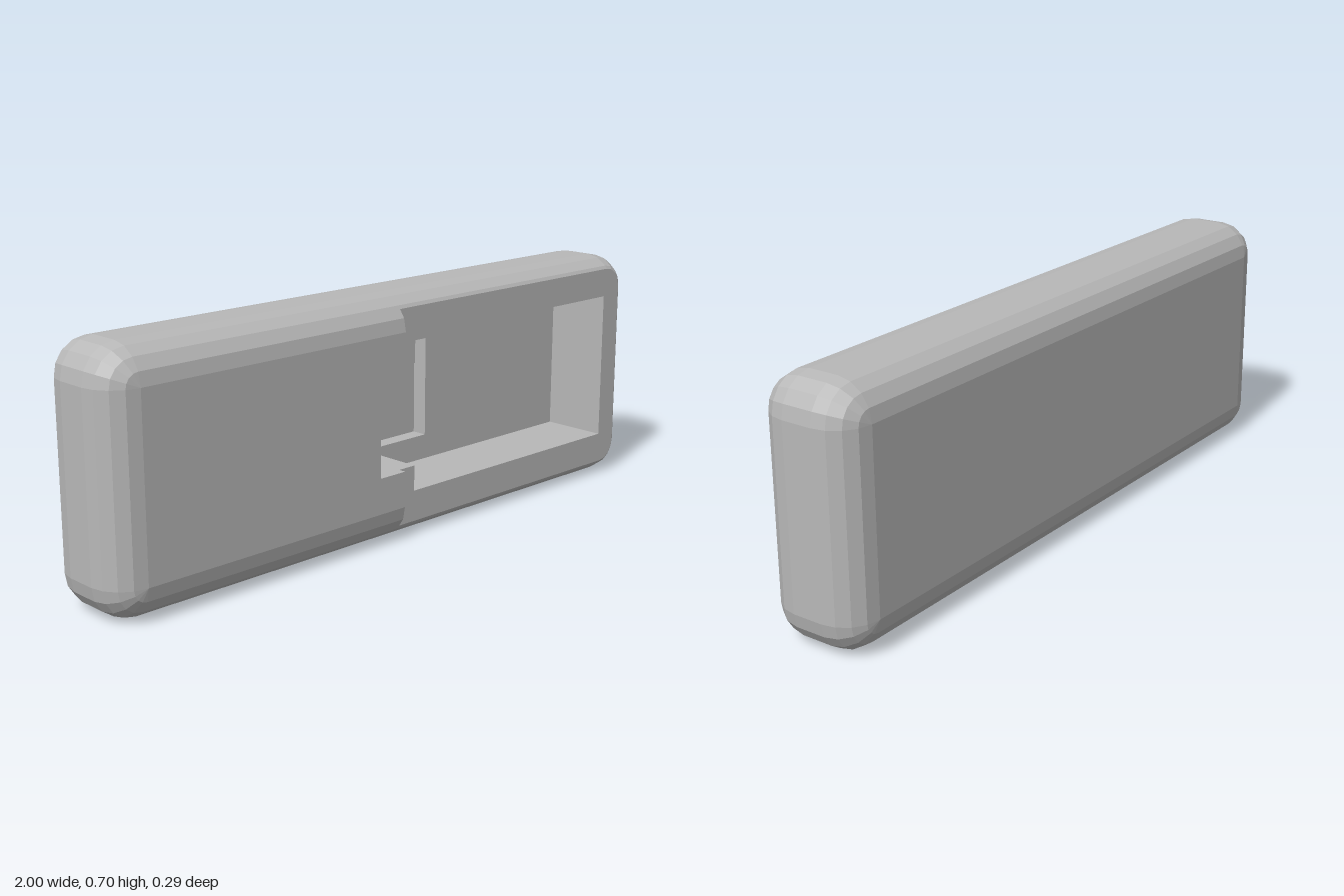
import * as THREE from 'three';

// overall body: half width, height, half depth, edge radius, segments per rounded edge
const W = 1, H = 0.705, D = 0.145, R = 0.1, SEG = 4;
const CX = W - R, CY = H / 2 - R, CZ = D - R, MID = H / 2;
const Y0 = MID - CY, Y1 = MID + CY;

// front levels: raised face, lowered ledge, pocket floor, notch floor
const RAISED = D, LEDGE = 0.122, POCKET = -0.08, NOTCH = -0.127;
const STEP = -0.015;                                     // x where the raised face ends
const p = { x0: 0.045, x1: 0.89, y0: 0.13, y1: 0.58 };   // pocket
const n = { x0: -0.11, x1: 0.295, y0: 0.205, y1: 0.505 }; // notch

// rounded outline at a given depth, counter-clockwise from the right side
function ring(z, inset, maxX = W) {
  const pts = [];
  [[1, 1], [-1, 1], [-1, -1], [1, -1]].forEach(([sx, sy], c) => {
    for (let i = 0; i <= SEG; i++) {
      const a = (c + i / SEG) * Math.PI / 2, r = R - inset;
      pts.push([Math.min(maxX, sx * CX + r * Math.cos(a)), MID + sy * CY + r * Math.sin(a), z]);
    }
  });
  return pts;
}

function faceted(positions) {
  const g = new THREE.BufferGeometry();
  g.setAttribute('position', new THREE.Float32BufferAttribute(positions, 3));
  g.computeVertexNormals();
  return g;
}

const quad = (a, b, c, d) => [...a, ...b, ...c, ...a, ...c, ...d];

// skin between successive outlines; an open loft leaves out the right-hand side
function loft(rings, open = false) {
  const out = [];
  for (let k = 0; k < rings.length - 1; k++) {
    const A = rings[k], B = rings[k + 1], count = A.length;
    for (let i = 0; i < count - (open ? 1 : 0); i++) {
      const j = (i + 1) % count;
      out.push(...quad(A[i], A[j], B[j], B[i]));
    }
  }
  return out;
}

// upright wall along a -> b, facing the left of that direction
const wall = ([ax, ay], [bx, by], lo, hi) =>
  quad([ax, ay, hi], [bx, by, hi], [bx, by, lo], [ax, ay, lo]);

// flat plate facing the front
function plate(points, z) {
  const shape = new THREE.Shape(points.map(([x, y]) => new THREE.Vector2(x, y)));
  return new THREE.ShapeGeometry(shape).translate(0, 0, z);
}

export function createModel() {
  const group = new THREE.Group();
  const grey = new THREE.MeshStandardMaterial({ color: 0xb8b8b8 });
  const add = (name, geometry) => {
    const mesh = new THREE.Mesh(geometry, grey);
    mesh.name = name;
    group.add(mesh);
  };

  // depth and inset of each outline around the rounded edge
  const arc = [];
  for (let i = 0; i <= SEG; i++) {
    const a = i / SEG * Math.PI / 2;
    arc.push([CZ + R * Math.sin(a), R * (1 - Math.cos(a))]);
  }
  const above = arc.findIndex(([z]) => z > LEDGE);
  const [za, ia] = arc[above - 1], [zb, ib] = arc[above];
  const ledgeInset = ia + (ib - ia) * (LEDGE - za) / (zb - za);

  // main shell up to the ledge, with its flat back
  const ledgeRing = ring(LEDGE, ledgeInset);
  const shellRings = [
    ...arc.slice().reverse().map(([z, i]) => ring(-z, i)),
    ...arc.slice(0, above).map(([z, i]) => ring(z, i)),
    ledgeRing,
  ];
  const back = quad([-CX, Y0, -D], [-CX, Y1, -D], [CX, Y1, -D], [CX, Y0, -D]);
  add('bodyShell', faceted([...loft(shellRings), ...back]));

  // raised half: rounded rim, step walls and front face
  const raisedRings = [
    ring(LEDGE, ledgeInset, STEP),
    ...arc.slice(above).map(([z, i]) => ring(z, i, STEP)),
  ];
  add('raisedRim', faceted([
    ...loft(raisedRings, true),
    ...wall([STEP, Y1], [STEP, n.y1], LEDGE, RAISED),
    ...wall([STEP, n.y0], [STEP, Y0], LEDGE, RAISED),
  ]));
  add('raisedFace', plate([
    [-CX, Y0], [STEP, Y0], [STEP, n.y0], [n.x0, n.y0],
    [n.x0, n.y1], [STEP, n.y1], [STEP, Y1], [-CX, Y1],
  ], RAISED));

  // lowered ledge framing the pocket
  const half = SEG + 1;
  add('ledge', plate([
    ...ledgeRing.slice(3 * half), ...ledgeRing.slice(0, half),
    [STEP, ledgeRing[SEG][1]], [STEP, n.y1], [p.x0, n.y1], [p.x0, p.y1], [p.x1, p.y1],
    [p.x1, p.y0], [p.x0, p.y0], [p.x0, n.y0], [STEP, n.y0], [STEP, H - ledgeRing[SEG][1]],
  ], LEDGE));

  // pocket
  const pocketPath = [[p.x0, n.y0], [p.x0, p.y0], [p.x1, p.y0], [p.x1, p.y1], [p.x0, p.y1], [p.x0, n.y1]];
  const pocketWalls = [];
  for (let i = 0; i < pocketPath.length - 1; i++) {
    pocketWalls.push(...wall(pocketPath[i], pocketPath[i + 1], POCKET, LEDGE));
  }
  add('pocketWalls', faceted(pocketWalls));
  add('pocketFloor', plate([...pocketPath, [n.x1, n.y1], [n.x1, n.y0]], POCKET));

  // deeper notch, its walls rising to whichever surface surrounds them
  const notchWalls = [
    ...wall([n.x1, n.y0], [n.x1, n.y1], NOTCH, POCKET),
    ...wall([n.x0, n.y1], [n.x0, n.y0], NOTCH, RAISED),
  ];
  [[n.x0, STEP, RAISED], [STEP, p.x0, LEDGE], [p.x0, n.x1, POCKET]].forEach(([a, b, top]) => {
    notchWalls.push(...wall([a, n.y0], [b, n.y0], NOTCH, top));
    notchWalls.push(...wall([b, n.y1], [a, n.y1], NOTCH, top));
  });
  add('notchWalls', faceted(notchWalls));
  add('notchFloor', plate([[n.x0, n.y0], [n.x1, n.y0], [n.x1, n.y1], [n.x0, n.y1]], NOTCH));

  return group;
}
